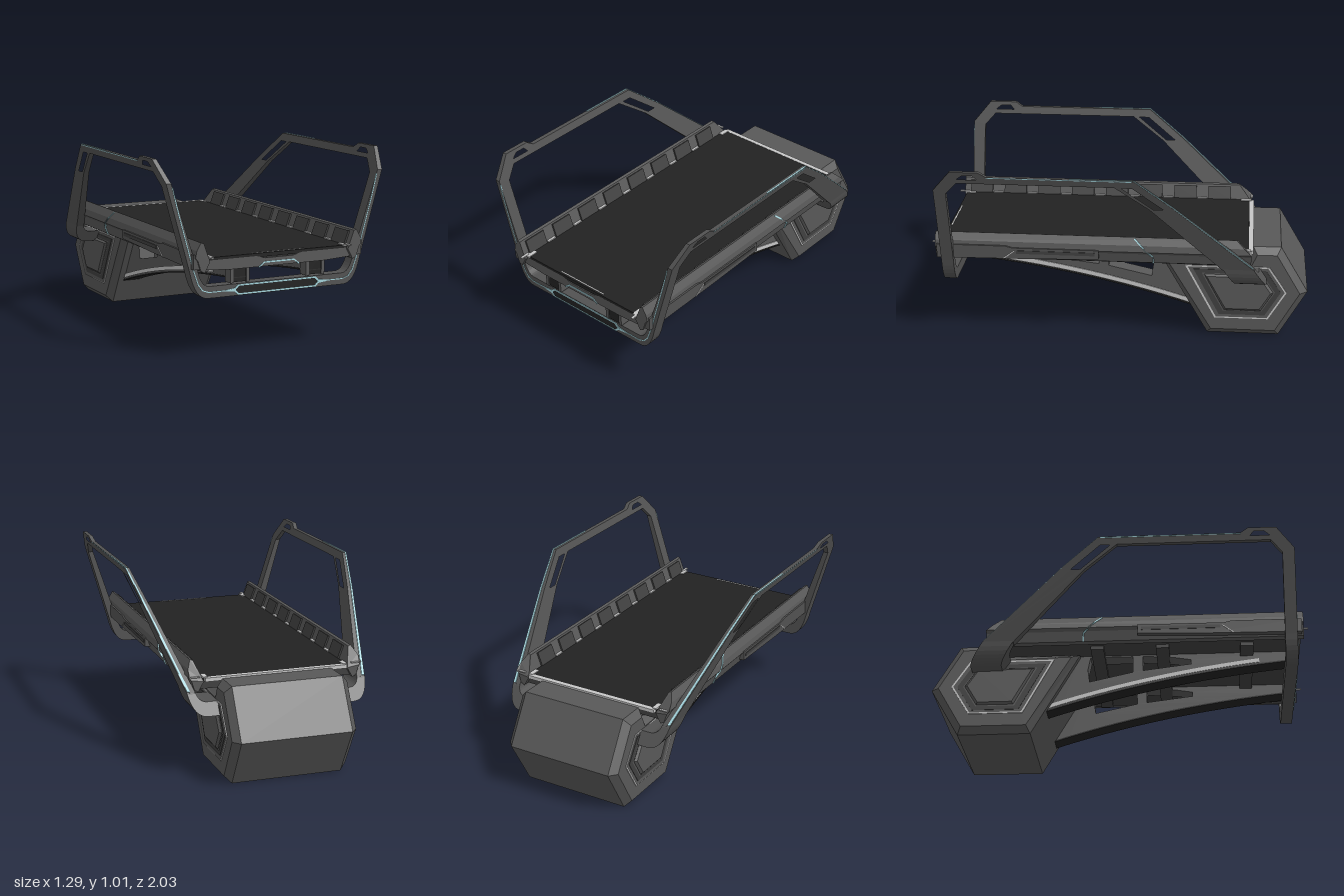
import * as THREE from 'three';

const mat = (name, color) => Object.assign(new THREE.MeshStandardMaterial({ color }), { name });
const BODY = mat('body grey', 0x585858);
const FRAME = mat('frame grey', 0x525252);
const PANEL = mat('panel dark grey', 0x404040);
const BLACK = mat('belt black', 0x222222);
const TRIM = mat('light trim', 0xc6c6c6);
const CYAN = mat('pale cyan', 0xa4d4dc);

const shapeOf = (pts, holes = []) => {
  const s = new THREE.Shape(pts.map(p => new THREE.Vector2(...p)));
  holes.forEach(h => s.holes.push(new THREE.Path(h.map(p => new THREE.Vector2(...p)))));
  return s;
};
// polygon of constant width along an open 2D path
const strip = (path, w) => {
  const a = [], b = [];
  path.forEach((p, i) => {
    const q = path[Math.max(i - 1, 0)], r = path[Math.min(i + 1, path.length - 1)];
    const dx = r[0] - q[0], dy = r[1] - q[1], l = Math.hypot(dx, dy);
    a.push([p[0] - dy / l * w / 2, p[1] + dx / l * w / 2]);
    b.unshift([p[0] + dy / l * w / 2, p[1] - dx / l * w / 2]);
  });
  return a.concat(b);
};
// extrude a front (x, y) shape between two depths
const frontGeo = (shape, z0, z1) =>
  new THREE.ExtrudeGeometry(shape, { depth: z1 - z0, bevelEnabled: false, curveSegments: 8 }).translate(0, 0, z0);
// extrude a side (z, y) profile between two x positions, with an optional chamfer
const sideGeo = (pts, x0, x1, holes = [], bevel = 0) => {
  const flip = l => l.map(([z, y]) => [-z, y]);
  return new THREE.ExtrudeGeometry(shapeOf(flip(pts), holes.map(flip)), {
    depth: x1 - x0 - 2 * bevel, bevelEnabled: bevel > 0, bevelSize: bevel,
    bevelThickness: bevel, bevelOffset: -bevel, bevelSegments: 1,
  }).rotateY(Math.PI / 2).translate(x0 + bevel, 0, 0);
};
const warp = (geo, fn) => {
  const p = geo.attributes.position, v = new THREE.Vector3();
  for (let i = 0; i < p.count; i++) {
    fn(v.fromBufferAttribute(p, i));
    p.setXYZ(i, v.x, v.y, v.z);
  }
  geo.computeVertexNormals();
  return geo;
};
// x of 0..1 becomes the inner..outer face of the leaning hand frame
const lean = geo => warp(geo, v => {
  const h = v.y - 0.455;
  v.x = 0.49 + h * 0.282 - (1 - v.x) * (0.045 - h * 0.04);
});
const inset = (pts, k) => {
  const c = pts.reduce((s, p) => [s[0] + p[0] / pts.length, s[1] + p[1] / pts.length], [0, 0]);
  return pts.map(p => [c[0] + (p[0] - c[0]) * k, c[1] + (p[1] - c[1]) * k]);
};

export function createModel() {
  const model = new THREE.Group();
  const add = (parent, name, geo, m) => {
    const mesh = new THREE.Mesh(geo, m);
    mesh.name = name;
    parent.add(mesh);
    return mesh;
  };
  const box = (parent, name, m, w, h, d, x, y, z) =>
    add(parent, name, new THREE.BoxGeometry(w, h, d).translate(x, y, z), m);

  // motor housing
  add(model, 'motorHousing', sideGeo([[-0.46, 0], [-0.85, 0], [-1, 0.26], [-0.85, 0.515],
    [-0.7, 0.515], [-0.67, 0.45], [-0.2, 0.45]], -0.335, 0.335, [], 0.036), BODY);

  // deck and belt
  box(model, 'deckPan', PANEL, 0.84, 0.045, 1.64, 0, 0.482, 0.155);
  box(model, 'belt', BLACK, 0.79, 0.02, 1.66, 0, 0.514, 0.155);
  box(model, 'rearBeltTrim', TRIM, 0.78, 0.02, 0.025, 0, 0.515, -0.688);
  box(model, 'frontBeltMark', TRIM, 0.3, 0.004, 0.006, 0, 0.524, 0.972);
  for (const z of [0.7, 0.25, -0.1]) box(model, 'crossBrace', PANEL, 0.78, 0.025, 0.07, 0, 0.452, z);
  add(model, 'frontLip', frontGeo(shapeOf([[-0.43, 0.465], [-0.27, 0.455], [0.27, 0.455], [0.43, 0.465],
    [0.41, 0.51], [0.13, 0.51], [0.08, 0.497], [-0.08, 0.497], [-0.13, 0.51], [-0.41, 0.51]]), 0.95, 0.985), BODY);
  add(model, 'frontLipLight', frontGeo(shapeOf(strip([[-0.115, 0.452], [-0.085, 0.476], [0.085, 0.476],
    [0.115, 0.452]], 0.007)), 0.98, 0.988), CYAN);

  // front bar with its rounded corners
  const u = new THREE.Shape();
  u.moveTo(0.49, 0.455).quadraticCurveTo(0.46, 0.315, 0.39, 0.315).lineTo(-0.39, 0.315)
    .quadraticCurveTo(-0.46, 0.315, -0.49, 0.455).lineTo(-0.445, 0.455)
    .quadraticCurveTo(-0.425, 0.375, -0.38, 0.375).lineTo(0.38, 0.375)
    .quadraticCurveTo(0.425, 0.375, 0.445, 0.455);
  add(model, 'frontBar', frontGeo(u, 0.9, 0.965), FRAME);
  const display = [[-0.25, 0.345], [-0.225, 0.319], [0.225, 0.319], [0.25, 0.345], [0.225, 0.371], [-0.225, 0.371]];
  const inner = [[-0.238, 0.345], [-0.218, 0.326], [0.218, 0.326], [0.238, 0.345], [0.218, 0.364], [-0.218, 0.364]];
  add(model, 'displayRim', frontGeo(shapeOf(display, [inner]), 0.963, 0.969), CYAN);
  add(model, 'displayPanel', frontGeo(shapeOf(inner), 0.963, 0.967), BLACK);

  // arched beam lower edge
  const arch = new THREE.QuadraticBezierCurve(new THREE.Vector2(0.97, 0.41),
    new THREE.Vector2(0.25, 0.345), new THREE.Vector2(-0.39, 0.14)).getPoints(14).map(p => [p.x, p.y]);
  const facePts = [[-0.335, 0.41], [-0.79, 0.41], [-0.887, 0.265], [-0.79, 0.105], [-0.5, 0.105]];

  for (const s of [1, -1]) {
    const half = new THREE.Group();
    half.name = s > 0 ? 'leftSide' : 'rightSide';
    half.scale.x = s;
    model.add(half);

    // housing side panel
    add(half, 'housingTrim', sideGeo(facePts, 0.333, 0.34, [inset(facePts, 0.955)]), TRIM);
    add(half, 'housingPanel', sideGeo(inset(facePts, 0.86), 0.332, 0.338, [inset(facePts, 0.72)]), PANEL);
    add(half, 'housingBoss', sideGeo(inset(facePts, 0.68), 0.33, 0.352, [], 0.012), BODY);

    // arched support beam
    add(half, 'supportBeam', sideGeo([...arch, [-0.2, 0.46], [0.95, 0.46]], 0.17, 0.262, [
      [[0.4, 0.425], [0.4, 0.4], [0.14, 0.368], [0.14, 0.452], [0.3, 0.442]],
      [[0.085, 0.452], [0.085, 0.36], [-0.15, 0.308], [-0.16, 0.38], [-0.145, 0.452]]]), BODY);
    add(half, 'beamTrim', sideGeo(strip(arch.slice(2).map(([z, y]) => [z, y + 0.022]), 0.022), 0.26, 0.266), TRIM);
    add(half, 'beamSole', sideGeo(strip(arch, 0.008), 0.166, 0.265), BLACK);
    box(half, 'beamNose', BLACK, 0.07, 0.095, 0.05, 0.217, 0.433, 0.945);
    for (const x of [0.172, 0.262]) box(half, 'noseBracket', BODY, 0.018, 0.11, 0.06, x, 0.437, 0.945);
    box(half, 'noseCap', TRIM, 0.1, 0.006, 0.06, 0.217, 0.49, 0.948);

    // side rail with a sloped rear end
    const rail = frontGeo(shapeOf([[0.395, 0.505], [0.425, 0.452], [0.445, 0.462], [0.462, 0.515],
      [0.475, 0.53], [0.468, 0.565], [0.445, 0.605], [0.43, 0.6]]), -0.69, 1);
    add(half, 'sideRail', warp(rail, v => { if (v.z < 0) v.z += Math.max(0, v.y - 0.53) * 1.05; }), BODY);
    add(half, 'railPod', sideGeo([[0.99, 0.47], [0.99, 0.545], [0.62, 0.545], [0.58, 0.535], [0.12, 0.535],
      [0.12, 0.485], [0.5, 0.475]], 0.44, 0.482), FRAME);
    box(half, 'railSlot', PANEL, 0.008, 0.018, 0.42, 0.481, 0.513, 0.35);
    add(half, 'railMark', sideGeo(strip([[0.63, 0.475], [0.57, 0.52]], 0.005), 0.479, 0.485), TRIM);
    // cyan seam following the rail surface
    const seam = sideGeo(strip([[-0.07, 0.598], [-0.105, 0.565], [-0.14, 0.53], [-0.17, 0.5], [-0.17, 0.46]], 0.007), 0, 0.006);
    add(half, 'railSeam', warp(seam, v => {
      v.x += v.y > 0.565 ? 0.466 - (v.y - 0.565) * 0.575
        : v.y > 0.53 ? 0.473 - (v.y - 0.53) * 0.2 : 0.473 - (0.53 - v.y) * 0.42;
    }), CYAN);

    // guards along the belt edge
    for (let i = 0; i < 8; i++) {
      const z = -0.5 + i * 0.2;
      const guard = box(half, 'edgeGuard', PANEL, 0.018, 0.075, 0.13, 0, 0, 0);
      guard.position.set(0.413, 0.556, z);
      guard.rotation.z = -0.36;
      box(half, 'guardTrim', TRIM, 0.014, 0.006, 0.055, 0.396, 0.527, z + 0.1);
    }
    for (const z of [-0.655, 0.965]) {
      box(half, 'cornerTrim', TRIM, 0.025, 0.008, 0.06, 0.384, 0.524, z);
    }
    box(half, 'railEndTrim', TRIM, 0.045, 0.006, 0.012, 0.44, 0.53, -0.687);

    // leaning hand frame
    add(half, 'handFrame', lean(sideGeo([[0.965, 0.45], [0.965, 0.9], [0.87, 1.012], [0.72, 1.012], [0.68, 0.987],
      [-0.078, 0.987], [-0.277, 0.83], [-0.71, 0.45], [-0.54, 0.45], [-0.158, 0.817], [0.02, 0.946],
      [0.84, 0.946], [0.9, 0.88], [0.9, 0.45]], 0, 1, [
      [[0.835, 0.97], [0.805, 0.993], [0.75, 0.993], [0.73, 0.97]],
      [[-0.015, 0.944], [-0.07, 0.944], [-0.23, 0.82], [-0.178, 0.82]]])), FRAME);
    add(half, 'frameTopLine', lean(sideGeo(strip([[0.25, 0.986], [-0.078, 0.986], [-0.277, 0.83],
      [-0.7, 0.459]], 0.007), 0.6, 0.9)), CYAN);
    add(half, 'frameSideLine', lean(sideGeo(strip([[0.68, 0.983], [-0.07, 0.983]], 0.004), 0.95, 1.1)), CYAN);
    add(half, 'frontLine', frontGeo(shapeOf(strip([[0.25, 0.345], [0.385, 0.345], [0.42, 0.357], [0.445, 0.39],
      [0.468, 0.455], [0.556, 0.77], [0.582, 0.88]], 0.005)), 0.962, 0.967), CYAN);
    add(half, 'displayWing', frontGeo(shapeOf([[0.235, 0.355], [0.29, 0.349], [0.29, 0.341], [0.235, 0.335]]), 0.963, 0.968), CYAN);

    // rear foot joining the frame to the housing
    const foot = new THREE.Shape();
    foot.moveTo(0.49, 0.455).quadraticCurveTo(0.475, 0.345, 0.4, 0.345).lineTo(0.32, 0.345)
      .lineTo(0.32, 0.41).lineTo(0.39, 0.41).quadraticCurveTo(0.435, 0.41, 0.445, 0.455);
    add(half, 'rearFoot', warp(frontGeo(foot, -0.705, -0.54), v => { v.z += (v.y - 0.455) * 0.65; }), FRAME);
  }
  return model;
}
